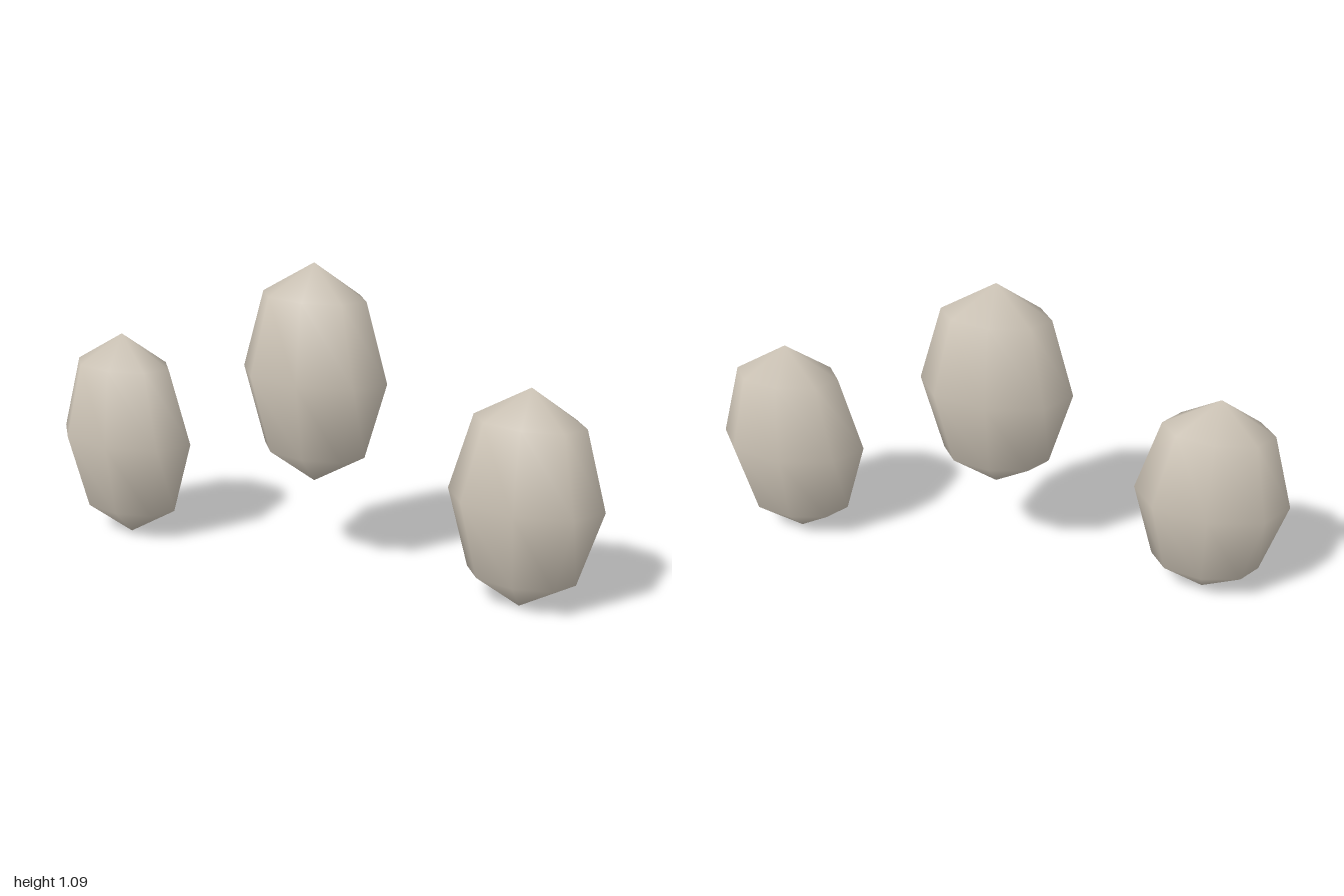
import * as THREE from 'three';

export function createModel() {
  const model = new THREE.Group();
  const stone = new THREE.MeshStandardMaterial({ color: 0xcfc6b8 });
  stone.name = 'pale stone';

  // Low-sided flattened egg shape shared by all three pebbles
  const pebble = new THREE.SphereGeometry(1, 8, 4);
  pebble.scale(0.26, 0.383, 0.15);

  const addPebble = (name, x, y) => {
    const mesh = new THREE.Mesh(pebble, stone);
    mesh.name = name;
    mesh.position.set(x, y, 0);
    model.add(mesh);
  };

  // Raised middle pebble with a lower one on each side
  addPebble('middlePebble', 0, 0.712);
  addPebble('leftPebble', 0.74, 0.384);
  addPebble('rightPebble', -0.74, 0.384);

  return model;
}
